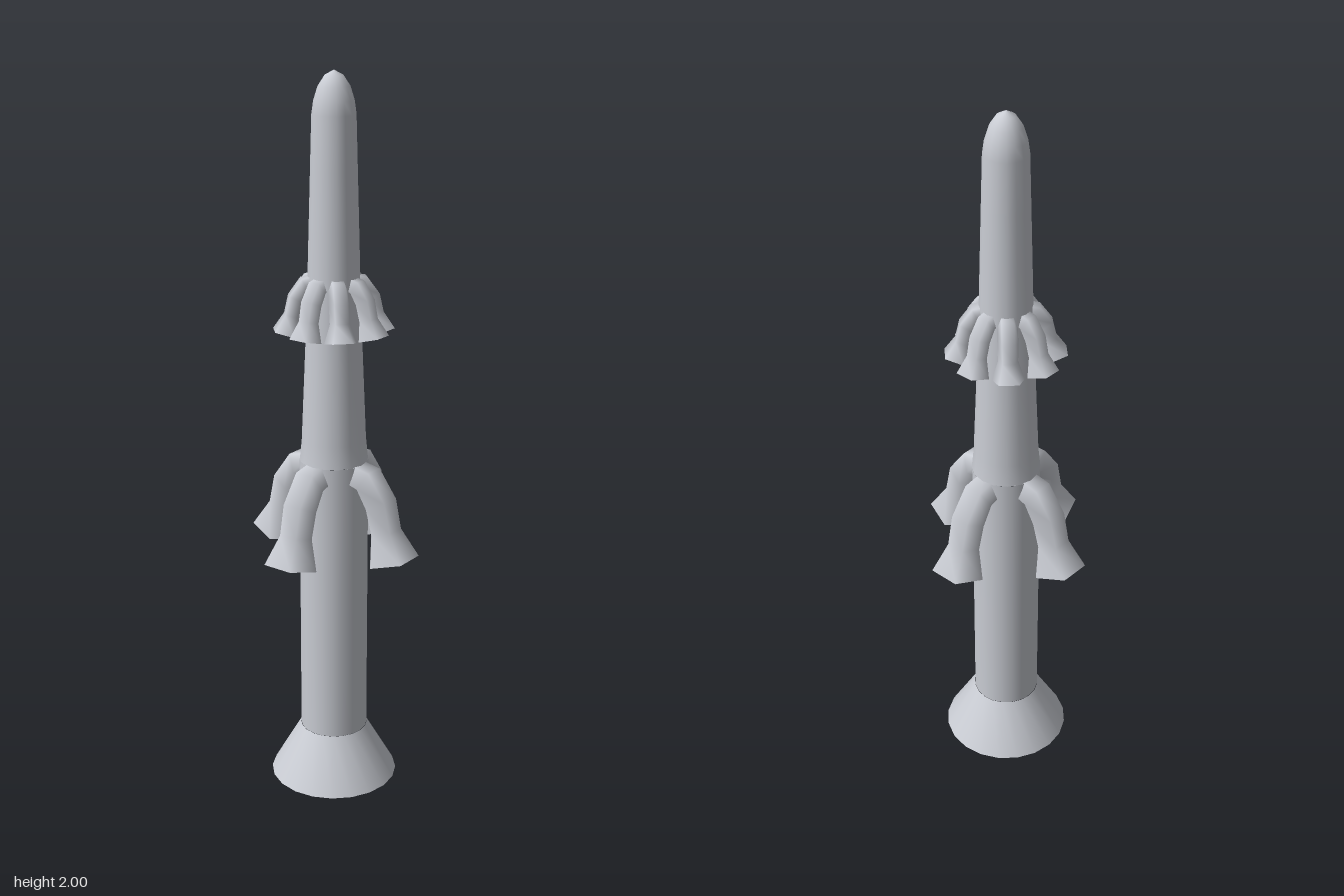
import * as THREE from 'three';

const grey = new THREE.MeshStandardMaterial({ color: 0xc9ccd3 });
grey.name = 'pale grey';

// Turned part from [radius, height] pairs, listed bottom to top
function turned(name, profile, sides) {
  const points = profile.map(([r, y]) => new THREE.Vector2(r, y));
  const mesh = new THREE.Mesh(new THREE.LatheGeometry(points, sides), grey);
  mesh.name = name;
  return mesh;
}

// Bent five-sided tube flaring into a bell: [outward, height, radius, tangent x, tangent y]
const rings = [
  [0.06, -0.035, 0.043, 1, 0],
  [0.115, -0.047, 0.046, 0.87, -0.5],
  [0.153, -0.105, 0.047, 0.4, -0.92],
  [0.171, -0.18, 0.045, 0.22, -0.975],
  [0.196, -0.26, 0.074, 0.24, -0.97],
];

function nozzleGeometry(scale, start) {
  const sides = 5, positions = [], index = [];
  rings.forEach(([x, y, r, tx, ty]) => {
    for (let j = 0; j < sides; j++) {
      const a = ((j + 0.5) / sides) * Math.PI * 2;
      const n = Math.cos(a) * r;
      positions.push(
        start + (x - 0.06 - ty * n) * scale,
        (y + tx * n) * scale,
        Math.sin(a) * r * scale
      );
    }
  });
  for (let i = 0; i < rings.length - 1; i++) {
    for (let j = 0; j < sides; j++) {
      const k = (j + 1) % sides;
      const a = i * sides + j, b = i * sides + k;
      index.push(a, b, a + sides, b, b + sides, a + sides);
    }
  }
  // Flat mouth with its own vertices, so the rim stays sharp
  const last = (rings.length - 1) * sides;
  const cap = positions.length / 3;
  positions.push(...positions.slice(last * 3));
  for (let j = 1; j < sides - 1; j++) index.push(cap, cap + j, cap + j + 1);

  const geometry = new THREE.BufferGeometry();
  geometry.setAttribute('position', new THREE.Float32BufferAttribute(positions, 3));
  geometry.setIndex(index);
  geometry.computeVertexNormals();
  return geometry;
}

// Evenly spaced ring of nozzles around the body
function nozzleRing(name, count, top, scale, start, twist) {
  const group = new THREE.Group();
  group.name = name + 's';
  const geometry = nozzleGeometry(scale, start);
  for (let i = 0; i < count; i++) {
    const nozzle = new THREE.Mesh(geometry, grey);
    nozzle.name = name;
    nozzle.position.y = top;
    nozzle.rotation.y = (i / count) * Math.PI * 2 + twist;
    group.add(nozzle);
  }
  return group;
}

export function createModel() {
  const model = new THREE.Group();
  model.name = 'tower';

  // Flared foot and its flat underside
  model.add(turned('foot', [[0.18, 0], [0.095, 0.15]], 20));
  model.add(turned('footUnderside', [[0, 0], [0.18, 0]], 20));

  // Straight lower shaft
  model.add(turned('lowerShaft', [[0.094, 0.15], [0.094, 0.96]], 20));

  // Tapering upper shaft with a rounded tip
  model.add(turned('upperShaft', [
    [0.094, 0.96], [0.088, 1.02], [0.076, 1.3], [0.07, 1.47], [0.062, 1.75],
    [0.058, 1.89], [0.053, 1.925], [0.042, 1.96], [0.024, 1.987], [0, 2],
  ], 16));

  // Four large nozzles below, eight small ones above
  model.add(nozzleRing('largeNozzle', 4, 0.967, 1, 0.06, 0.02));
  model.add(nozzleRing('smallNozzle', 8, 1.476, 0.6, 0.043, 0.02));
  return model;
}
